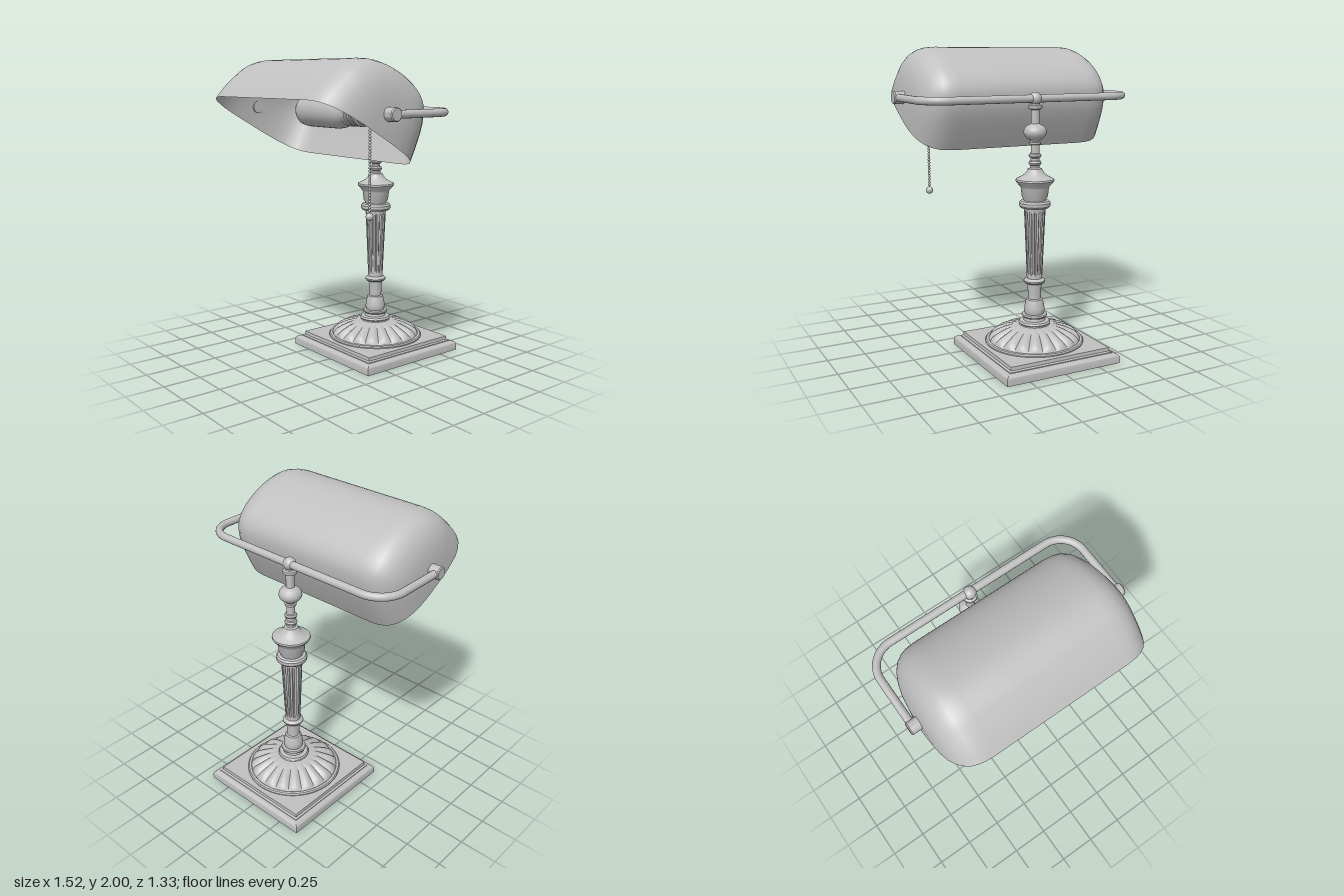
import * as THREE from 'three';
import { toCreasedNormals } from 'three/addons/utils/BufferGeometryUtils.js';

const metal = new THREE.MeshStandardMaterial({ color: 0xc0c0c0 });
metal.name = 'grey';
const shell = new THREE.MeshStandardMaterial({ color: 0xc0c0c0, side: THREE.DoubleSide });
shell.name = 'grey shell';

const POST_Z = -0.255, PIVOT_Y = 1.68, PIVOT_Z = 0.245;
const vectors = (pts) => pts.map(([r, y]) => new THREE.Vector2(r, y));

function add(parent, name, geometry, x = 0, y = 0, z = 0, material = metal) {
  const mesh = new THREE.Mesh(geometry, material);
  mesh.name = name;
  mesh.position.set(x, y, z);
  parent.add(mesh);
  return mesh;
}

// Turned profile, listed from bottom to top as [radius, height]
const turned = (pts, segments = 40) => toCreasedNormals(new THREE.LatheGeometry(vectors(pts), segments), 0.6);

// Square plinth: a four-sided turning, given as half widths
function square(pts) {
  const g = new THREE.LatheGeometry(vectors(pts.map(([r, y]) => [r * Math.SQRT2, y])), 4);
  return toCreasedNormals(g.rotateY(Math.PI / 4).toNonIndexed(), 0.5);
}

// Moves the vertices of a turning by a rule of (vertex, angle)
function carve(pts, segments, rule) {
  const g = new THREE.LatheGeometry(vectors(pts), segments);
  const p = g.attributes.position, v = new THREE.Vector3();
  for (let i = 0; i < p.count; i++) {
    v.fromBufferAttribute(p, i);
    rule(v, Math.atan2(v.x, v.z));
    p.setXYZ(i, v.x, v.y, v.z);
  }
  return toCreasedNormals(g, 0.7);
}

// Shade: one tilted cross-section, shrunk toward both rounded ends
function shadeGeometry() {
  const arch = new THREE.CatmullRomCurve3([
    [0.407, 0], [0.385, 0.1], [0.345, 0.21], [0.3, 0.3], [0.2, 0.393], [0.06, 0.445], [-0.11, 0.46],
    [-0.237, 0.438], [-0.313, 0.391], [-0.355, 0.322], [-0.38, 0.244], [-0.398, 0.1], [-0.405, 0],
  ].map(([u, n]) => new THREE.Vector3(u, n, 0))).getPoints(40);
  const half = [[0.694, 0], [0.693, 0.25], [0.688, 0.42], [0.678, 0.58], [0.66, 0.71], [0.635, 0.82],
    [0.6, 0.91], [0.56, 0.962], [0.52, 0.988], [0.46, 1], [0.2, 1]];
  const stations = [...half.map(([x, s]) => [-x, s]), ...half.slice().reverse()];
  const pos = [], index = [], row = arch.length;
  const c = Math.cos(Math.PI / 6), k = 0.5;
  stations.forEach(([x, s], i) => arch.forEach((a, j) => {
    pos.push(x, 1.56 + s * (a.x * k + a.y * c), 0.313 + s * (a.x * c - a.y * k));
    if (i && j) {
      const q = i * row + j;
      index.push(q - row - 1, q - 1, q, q - row - 1, q, q - row);
    }
  }));
  const g = new THREE.BufferGeometry();
  g.setAttribute('position', new THREE.Float32BufferAttribute(pos, 3));
  // Outward winding: from the front edge over the top, along +x
  for (let i = 0; i < index.length; i += 3) [index[i + 1], index[i + 2]] = [index[i + 2], index[i + 1]];
  for (let i = 0; i < index.length; i += 3) [index[i + 1], index[i + 2]] = [index[i + 2], index[i + 1]];
  g.setIndex(index);
  g.computeVertexNormals();
  return g;
}

export function createModel() {
  const lamp = new THREE.Group();
  lamp.name = 'deskLamp';

  // Base
  const base = new THREE.Group();
  base.name = 'base';
  base.position.z = POST_Z;
  lamp.add(base);
  add(base, 'plinth', square([[0, 0], [0.405, 0], [0.405, 0.035], [0.402, 0.048], [0.393, 0.058], [0.38, 0.063], [0, 0.063]]));
  add(base, 'plinthStep', square([[0.368, 0.06], [0.368, 0.068], [0.355, 0.074], [0.353, 0.096], [0, 0.096]]));
  add(base, 'domeRim', turned([[0.322, 0.095], [0.322, 0.103], [0.315, 0.11], [0.3, 0.112], [0.29, 0.105], [0, 0.105]], 64));
  // Gadrooned dome with sharp valleys between the lobes
  add(base, 'fluteDome', carve(
    [[0.3, 0.1], [0.298, 0.118], [0.285, 0.14], [0.262, 0.158], [0.23, 0.174], [0.19, 0.19], [0.15, 0.2], [0.12, 0.205], [0, 0.207]],
    160, (v, a) => {
      const r = Math.hypot(v.x, v.z);
      const fade = THREE.MathUtils.smoothstep(r, 0.11, 0.24);
      const valley = 1 - Math.abs(Math.sin(a * 10));
      v.y -= 0.022 * valley * fade * (v.y > 0.11 ? 1 : 0);
    }));

  // Post
  const post = new THREE.Group();
  post.name = 'post';
  post.position.z = POST_Z;
  lamp.add(post);
  add(post, 'lowerStem', turned([
    [0.12, 0.2], [0.1, 0.208], [0.098, 0.215], [0.105, 0.222], [0.098, 0.234], [0.072, 0.238], [0.068, 0.255],
    [0.082, 0.262], [0.085, 0.27], [0.08, 0.278], [0.062, 0.281], [0.067, 0.3], [0.066, 0.32], [0.058, 0.36],
    [0.053, 0.377], [0.042, 0.382], [0.043, 0.43], [0.047, 0.482], [0.062, 0.487], [0.07, 0.497], [0.07, 0.505],
    [0.062, 0.514], [0.05, 0.52], [0.05, 0.53],
  ]));
  // Tapered column with flutes cut between plain ends
  const column = [];
  for (let i = 0; i <= 24; i++) column.push([0.05 + 0.02 * i / 24, 0.52 + 0.47 * i / 24]);
  add(post, 'flutedColumn', carve(column, 112, (v, a) => {
    const ends = THREE.MathUtils.smoothstep(v.y, 0.53, 0.56) * (1 - THREE.MathUtils.smoothstep(v.y, 0.95, 0.98));
    const f = 1 - 0.17 * ends * Math.sqrt(Math.max(0, Math.cos(a * 14)));
    v.x *= f;
    v.z *= f;
  }));
  add(post, 'capital', turned([
    [0.07, 0.985], [0.092, 0.988], [0.101, 1.0], [0.101, 1.02], [0.092, 1.032], [0.072, 1.035], [0.073, 1.042],
    [0.084, 1.06], [0.09, 1.115], [0.094, 1.125], [0.118, 1.15], [0.125, 1.162], [0.122, 1.172], [0.1, 1.182],
    [0.07, 1.2], [0.052, 1.222], [0.045, 1.238], [0.03, 1.244], [0.03, 1.258], [0.038, 1.264], [0.041, 1.275],
    [0.036, 1.286], [0.028, 1.29], [0.028, 1.306], [0.038, 1.312], [0.041, 1.322], [0.036, 1.333], [0.027, 1.336],
    [0.027, 1.395],
  ]));
  add(post, 'neck', turned([
    [0.027, 1.39], [0.036, 1.394], [0.037, 1.408], [0.03, 1.414], [0.034, 1.422], [0.052, 1.432], [0.068, 1.45],
    [0.074, 1.468], [0.07, 1.49], [0.056, 1.508], [0.036, 1.518], [0.027, 1.524], [0.026, 1.61], [0.042, 1.616],
    [0.046, 1.626], [0.044, 1.636], [0.03, 1.642], [0.024, 1.68],
  ]));
  add(post, 'armBall', new THREE.SphereGeometry(0.041, 24, 16), 0, PIVOT_Y, 0);

  // Curved arm holding the shade at both ends
  const P = (x, z) => new THREE.Vector3(x, PIVOT_Y, z);
  const Z = -0.26, X = 0.73;
  const path = new THREE.CurvePath();
  path.add(new THREE.LineCurve3(P(-X, PIVOT_Z), P(-X, -0.09)));
  path.add(new THREE.CubicBezierCurve3(P(-X, -0.09), P(-X, -0.185), P(-0.655, Z), P(-0.56, Z)));
  path.add(new THREE.LineCurve3(P(-0.56, Z), P(0.56, Z)));
  path.add(new THREE.CubicBezierCurve3(P(0.56, Z), P(0.655, Z), P(X, -0.185), P(X, -0.09)));
  path.add(new THREE.LineCurve3(P(X, -0.09), P(X, PIVOT_Z)));
  add(lamp, 'arm', new THREE.TubeGeometry(path, 140, 0.025, 16));
  for (const s of [-1, 1]) {
    const knob = turned([[0, -0.04], [0.042, -0.04], [0.042, 0.03], [0.036, 0.037], [0, 0.037]], 28);
    add(lamp, s > 0 ? 'leftPivot' : 'rightPivot', knob, s * 0.723, PIVOT_Y, PIVOT_Z).rotation.z = -s * Math.PI / 2;
  }

  // Shade
  add(lamp, 'shade', shadeGeometry(), 0, 0, 0, shell);

  // Bulb and socket lie along x, so their profiles run from right to left end
  const bulb = turned([
    [0, -0.147], [0.05, -0.142], [0.08, -0.125], [0.098, -0.095], [0.104, -0.05], [0.104, 0.24], [0.098, 0.28],
    [0.085, 0.315], [0.077, 0.345],
  ]);
  add(lamp, 'bulb', bulb, 0, PIVOT_Y, PIVOT_Z).rotation.z = -Math.PI / 2;
  const socket = turned([
    [0, 0.338], [0.084, 0.34], [0.084, 0.375], [0.076, 0.38], [0.076, 0.395], [0.082, 0.4], [0.082, 0.42],
    [0.076, 0.425], [0.076, 0.44], [0.083, 0.446], [0.083, 0.465], [0.072, 0.472], [0.072, 0.555], [0.088, 0.56],
    [0.09, 0.6], [0.08, 0.615], [0.06, 0.62], [0.05, 0.65], [0.03, 0.655], [0.03, 0.69],
  ]);
  add(lamp, 'socket', socket, 0, PIVOT_Y, PIVOT_Z).rotation.z = -Math.PI / 2;

  // Pull chain
  const chain = new THREE.Group();
  chain.name = 'pullChain';
  chain.position.set(0.523, 0, PIVOT_Z);
  lamp.add(chain);
  add(chain, 'chainCord', new THREE.CylinderGeometry(0.003, 0.003, 0.54, 6), 0, 1.35, 0);
  const bead = new THREE.SphereGeometry(0.009, 10, 8);
  for (let i = 0; i < 28; i++) add(chain, 'chainBead', bead, 0, 1.1 + i * 0.0185, 0);
  add(chain, 'chainPull', new THREE.SphereGeometry(0.024, 20, 14), 0, 1.064, 0);

  return lamp;
}
